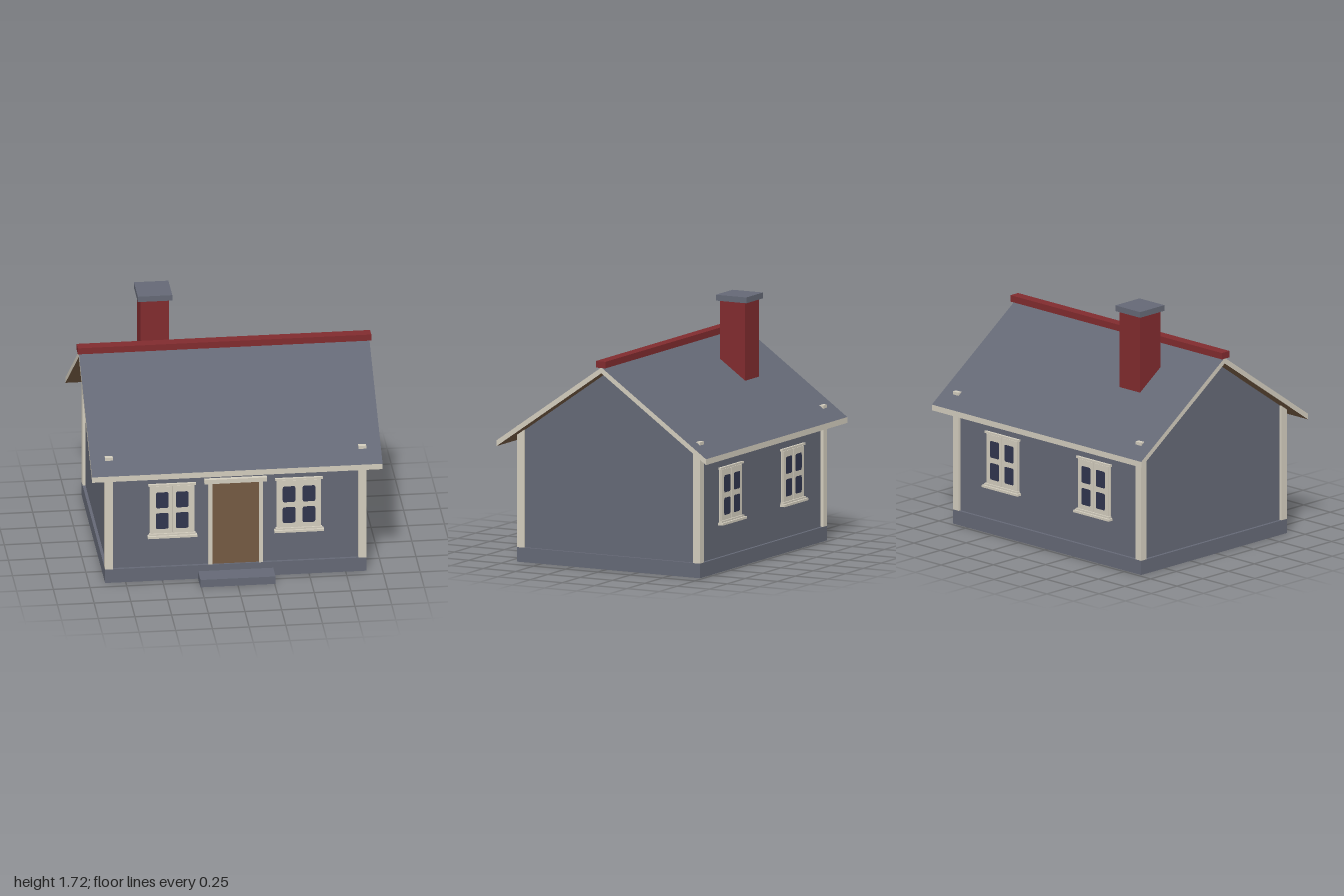
import * as THREE from 'three';

const mat = (name, color, side = THREE.FrontSide) => {
  const m = new THREE.MeshStandardMaterial({ color, side });
  m.name = name;
  return m;
};

export function createModel() {
  const slate = mat('slate grey', 0x646875, THREE.DoubleSide);
  const cream = mat('cream trim', 0xd2ccbd);
  const brown = mat('brown wood', 0x735942);
  const red = mat('brick red', 0x802b2e);
  const glass = mat('dark glass', 0x30354e);

  const house = new THREE.Group();
  house.name = 'house';
  house.position.z = -0.02;

  const add = (parent, name, geometry, material) => {
    const mesh = new THREE.Mesh(geometry, material);
    mesh.name = name;
    parent.add(mesh);
    return mesh;
  };
  // Box given by its limits on each axis
  const box = (parent, name, material, [x0, x1], [y0, y1], [z0, z1]) => {
    const g = new THREE.BoxGeometry(x1 - x0, y1 - y0, z1 - z0);
    g.translate((x0 + x1) / 2, (y0 + y1) / 2, (z0 + z1) / 2);
    return add(parent, name, g, material);
  };
  // Remove the underside of a box, leaving it hollow
  const openBottom = (mesh) => {
    const index = Array.from(mesh.geometry.index.array);
    index.splice(18, 6);
    mesh.geometry.setIndex(index);
    mesh.geometry.clearGroups();
  };

  // Hollow foundation and doorstep
  openBottom(box(house, 'foundation', slate, [-0.89, 0.89], [0, 0.1], [-0.708, 0.708]));
  openBottom(box(house, 'doorstep', slate, [-0.256, 0.256], [0, 0.055], [0.708, 0.85]));

  // Walls with gables, one extruded profile
  const wallZ = 0.688, wallX = 0.87;
  const gable = new THREE.Shape([
    [-wallZ, 0.1], [wallZ, 0.1], [wallZ, 0.887], [0, 1.367], [-wallZ, 0.887],
  ].map(([x, y]) => new THREE.Vector2(x, y)));
  const walls = new THREE.ExtrudeGeometry(gable, { depth: wallX * 2, bevelEnabled: false });
  walls.translate(0, 0, -wallX);
  walls.rotateY(Math.PI / 2);
  add(house, 'walls', walls, slate);

  // Corner posts, their tops just pierce the roof
  for (const sx of [-1, 1]) for (const sz of [-1, 1]) {
    const post = new THREE.BoxGeometry(0.053, 0.833, 0.053);
    post.translate(sx * 0.8635, 0.5165, sz * 0.6815);
    add(house, 'cornerPost', post, cream);
  }

  // Roof slopes: boxes sheared down toward the eaves
  const roofRun = 0.81, slope = 0.565 / roofRun;
  for (const turn of [0, Math.PI]) {
    const g = new THREE.BoxGeometry(1.98, 0.04, roofRun);
    g.translate(0, 1.385, roofRun / 2);
    const p = g.attributes.position;
    for (let i = 0; i < p.count; i++) p.setY(i, p.getY(i) - slope * p.getZ(i));
    g.computeVertexNormals();
    g.rotateY(turn);
    add(house, 'roofSlope', g, [cream, cream, slate, brown, cream, cream]);
  }
  box(house, 'ridgeCap', red, [-1, 1], [1.403, 1.448], [-0.037, 0.037]);

  // Chimney
  box(house, 'chimney', red, [-0.55, -0.355], [1.1, 1.685], [-0.37, -0.174]);
  box(house, 'chimneyCap', slate, [-0.57, -0.335], [1.683, 1.723], [-0.39, -0.154]);

  // Door with frame
  const door = new THREE.Group();
  door.name = 'door';
  house.add(door);
  box(door, 'doorPanel', brown, [-0.16, 0.16], [0.1, 0.706], [wallZ - 0.01, wallZ + 0.008]);
  for (const s of [-1, 1]) {
    const x = s * 0.173;
    box(door, 'doorJamb', cream, [x - 0.014, x + 0.014], [0.1, 0.706], [wallZ - 0.01, 0.708]);
  }
  box(door, 'doorLintel', cream, [-0.213, 0.213], [0.705, 0.736], [wallZ - 0.01, 0.717]);

  // Rounded glass pane
  const paneGeometry = () => {
    const w = 0.043, h = 0.059, r = 0.014;
    const s = new THREE.Shape();
    s.moveTo(-w + r, -h);
    s.lineTo(w - r, -h).quadraticCurveTo(w, -h, w, -h + r);
    s.lineTo(w, h - r).quadraticCurveTo(w, h, w - r, h);
    s.lineTo(-w + r, h).quadraticCurveTo(-w, h, -w, h - r);
    s.lineTo(-w, -h + r).quadraticCurveTo(-w, -h, -w + r, -h);
    return new THREE.ShapeGeometry(s, 4);
  };

  // Two-casement window, built facing +z with the wall at z = 0
  const makeWindow = () => {
    const w = new THREE.Group();
    w.name = 'window';
    box(w, 'windowFrame', cream, [-0.152, 0.152], [0.34, 0.702], [-0.01, 0.008]);
    box(w, 'windowHead', cream, [-0.162, 0.162], [0.7, 0.714], [-0.01, 0.018]);
    box(w, 'windowSill', cream, [-0.168, 0.168], [0.32, 0.336], [-0.01, 0.038]);
    box(w, 'sillMoulding', cream, [-0.158, 0.158], [0.336, 0.348], [-0.01, 0.024]);
    for (const s of [-1, 1]) {
      const x = s * 0.074;
      box(w, 'casement', cream, [x - 0.07, x + 0.07], [0.348, 0.697], [0, 0.014]);
      for (const y of [0.441, 0.596]) {
        add(w, 'glassPane', paneGeometry(), glass).position.set(s * 0.068, y, 0.016);
      }
    }
    return w;
  };
  for (const sx of [-1, 1]) for (const sz of [-1, 1]) {
    const w = makeWindow();
    w.position.set(sx * 0.432, 0, sz * wallZ);
    if (sz < 0) w.rotation.y = Math.PI;
    house.add(w);
  }

  const model = new THREE.Group();
  model.name = 'cottage';
  model.add(house);
  return model;
}
